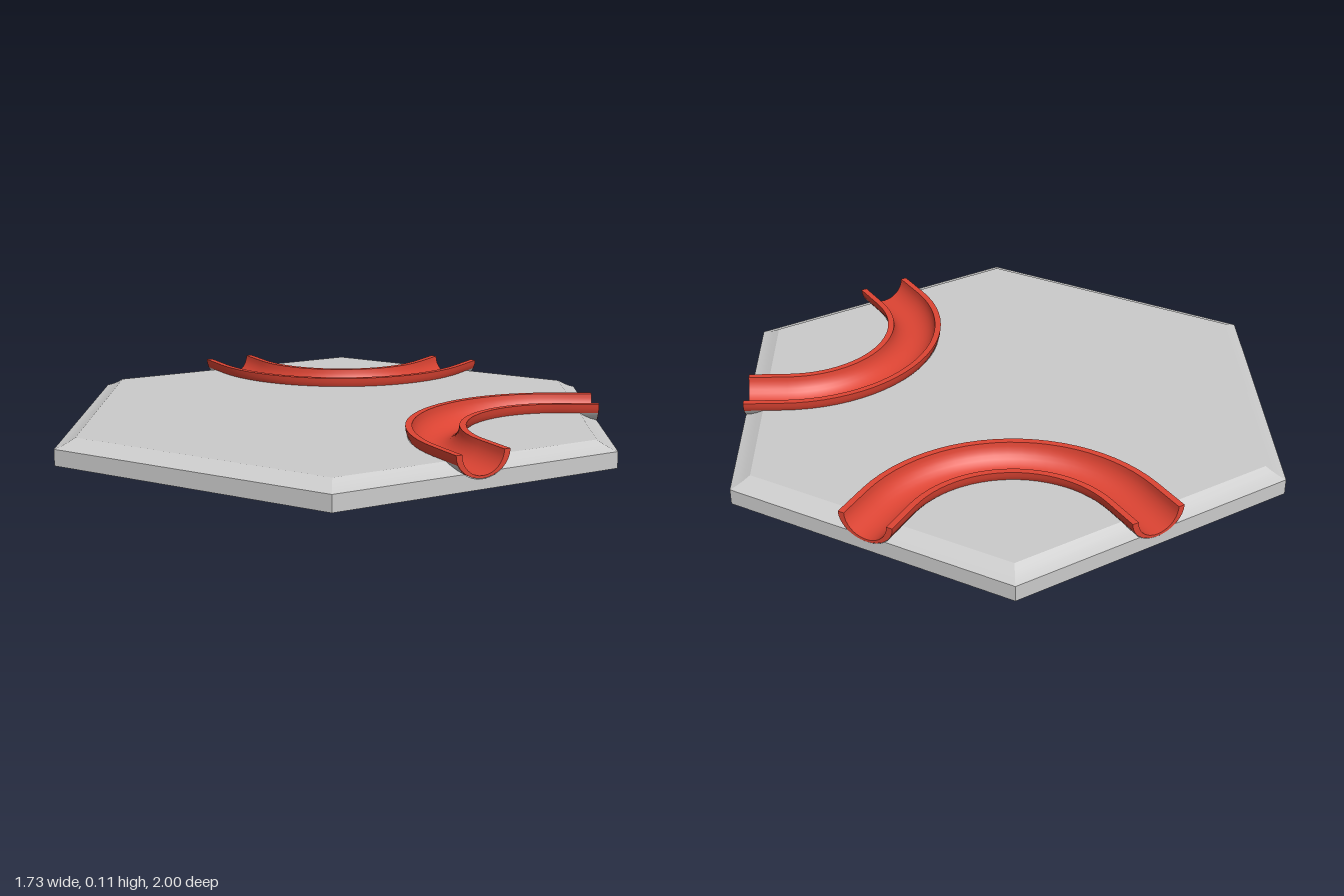
import * as THREE from 'three';
import { toCreasedNormals } from 'three/addons/utils/BufferGeometryUtils.js';

const rad = THREE.MathUtils.degToRad;
const APOTHEM = 0.866, WALL = 0.053, TOP = 0.082, TOP_APOTHEM = 0.805;
const RIM = 0.113;                    // height of the channel rims
const BEVEL = [[APOTHEM, WALL], [0.845, 0.06], [0.825, 0.07], [TOP_APOTHEM, TOP]];
const TURNS = [30, -90];              // tile corners that a channel bends around
const CHANNEL_SIDES = [0, 60, 240, 300];
const GROOVE = { w: 0.096, d: 0.081 };

const grey = new THREE.MeshStandardMaterial({ color: 0xcccccc, side: THREE.DoubleSide });
const red = new THREE.MeshStandardMaterial({ color: 0xdd4433, side: THREE.DoubleSide });

// half width of the groove at height y
const grooveHalf = (y) => GROOVE.w * Math.sqrt(1 - ((RIM - y) / GROOVE.d) ** 2);

// plan line (x, z) parallel to a channel's centreline, ending at apothem `end`
function channelLine(offset, end, corner) {
  const pts = [];
  const straight = (s) => new THREE.Vector2(
    end * Math.cos(rad(30)) + offset * 0.5,
    s * (end * 0.5 - offset * Math.cos(rad(30))));
  pts.push(straight(1));
  for (let i = 0; i <= 24; i++) {
    const a = rad(120 + i * 5), r = 0.425 - offset;
    pts.push(new THREE.Vector2(0.85 + r * Math.cos(a), r * Math.sin(a)));
  }
  pts.push(straight(-1));
  const o = new THREE.Vector2();
  return pts.map((p) => p.rotateAround(o, rad(corner)));
}

// surface through equal rows of points
function skin(rows, crease = 0.6) {
  const n = rows[0].length, index = [];
  for (let i = 0; i < rows.length - 1; i++) {
    for (let j = 0; j < n - 1; j++) {
      const a = i * n + j, b = a + n;
      index.push(a, a + 1, b, b, a + 1, b + 1);
    }
  }
  const g = new THREE.BufferGeometry().setFromPoints(rows.flat());
  g.setIndex(index);
  return toCreasedNormals(g, crease);
}

// half-ellipse section as [offset, y], from one rim to the other
function arc(w, d, from = 0) {
  const pts = [];
  for (let i = 0; i <= 16; i++) {
    const a = from + (Math.PI - 2 * from) * i / 16;
    pts.push([w * Math.cos(a), RIM - d * Math.sin(a)]);
  }
  return pts;
}

// sweep a section along a channel; one row per section point
const sweep = (section, corner, end) => section.map(([o, y]) =>
  channelLine(o, end, corner).map((p) => new THREE.Vector3(p.x, y, p.y)));

export function createModel() {
  const model = new THREE.Group();
  const add = (name, geometry, material, parent = model) => {
    const m = new THREE.Mesh(geometry, material);
    m.name = name;
    parent.add(m);
    return m;
  };

  // flat top: the main plate and the corner pieces cut off by the channels
  const half = grooveHalf(TOP);
  const plate = (name, pts) => {
    const shape = new THREE.Shape(pts.map((p) => new THREE.Vector2(p.x, -p.y)));
    const g = new THREE.ShapeGeometry(shape).rotateX(-Math.PI / 2).translate(0, TOP, 0);
    add(name, g, grey);
  };
  const hexCorner = (deg) => {
    const r = TOP_APOTHEM / Math.cos(rad(30));
    return new THREE.Vector2(r * Math.cos(rad(deg)), r * Math.sin(rad(deg)));
  };
  const outline = [];
  for (const deg of [30, 90, 150, 210, -90, -30]) {
    if (TURNS.includes(deg)) outline.push(...channelLine(-half, TOP_APOTHEM, deg).reverse());
    else outline.push(hexCorner(deg));
  }
  plate('tileTop', outline);
  for (const deg of TURNS) {
    plate('tileTopCorner', [...channelLine(half, TOP_APOTHEM, deg), hexCorner(deg)]);
  }

  // side walls, notched where a channel leaves, with a bevel above
  for (let deg = 0; deg < 360; deg += 60) {
    const notched = CHANNEL_SIDES.includes(deg);
    const out = new THREE.Vector2(Math.cos(rad(deg)), Math.sin(rad(deg)));
    const side = new THREE.Group();
    side.name = 'tileSide';
    model.add(side);

    const pts = [[-0.5, 0], [0.5, 0], [0.5, WALL]];
    if (notched) pts.push(...arc(GROOVE.w, GROOVE.d, Math.asin((RIM - WALL) / GROOVE.d)));
    pts.push([-0.5, WALL]);
    const wall = add('sideWall', new THREE.ShapeGeometry(
      new THREE.Shape(pts.map(([x, y]) => new THREE.Vector2(x, y)))), grey, side);
    wall.rotation.y = rad(90 - deg);
    wall.position.set(APOTHEM * out.x, 0, APOTHEM * out.y);

    for (const s of [-1, 1]) {
      const rows = BEVEL.map(([a, y]) => {
        const ends = [notched ? grooveHalf(y) : 0, a * Math.tan(rad(30))];
        if (s < 0) ends.reverse();
        return ends.map((t) => new THREE.Vector3(
          a * out.x - s * t * out.y, y, a * out.y + s * t * out.x));
      });
      add('bevel', skin(rows), grey, side);
    }
  }

  // channels: grey groove below, red half-pipe lining with rims and ends
  const inner = arc(0.074, 0.071), outer = arc(0.095, 0.079);
  const ring = [...inner, ...outer.slice().reverse(), inner[0]];
  const under = arc(GROOVE.w, GROOVE.d, Math.asin((RIM - TOP) / GROOVE.d));
  for (const corner of TURNS) {
    const channel = new THREE.Group();
    channel.name = 'channel';
    model.add(channel);
    add('groove', skin(sweep(under, corner, APOTHEM)), grey, channel);
    add('lining', skin(sweep(ring, corner, APOTHEM + 0.002)), red, channel);

    const a = sweep(inner, corner, APOTHEM + 0.002), b = sweep(outer, corner, APOTHEM + 0.002);
    const last = a[0].length - 1;
    add('liningEnd', skin([b.map((r) => r[0]), a.map((r) => r[0])]), red, channel);
    add('liningEnd', skin([a.map((r) => r[last]), b.map((r) => r[last])]), red, channel);
  }
  return model;
}
